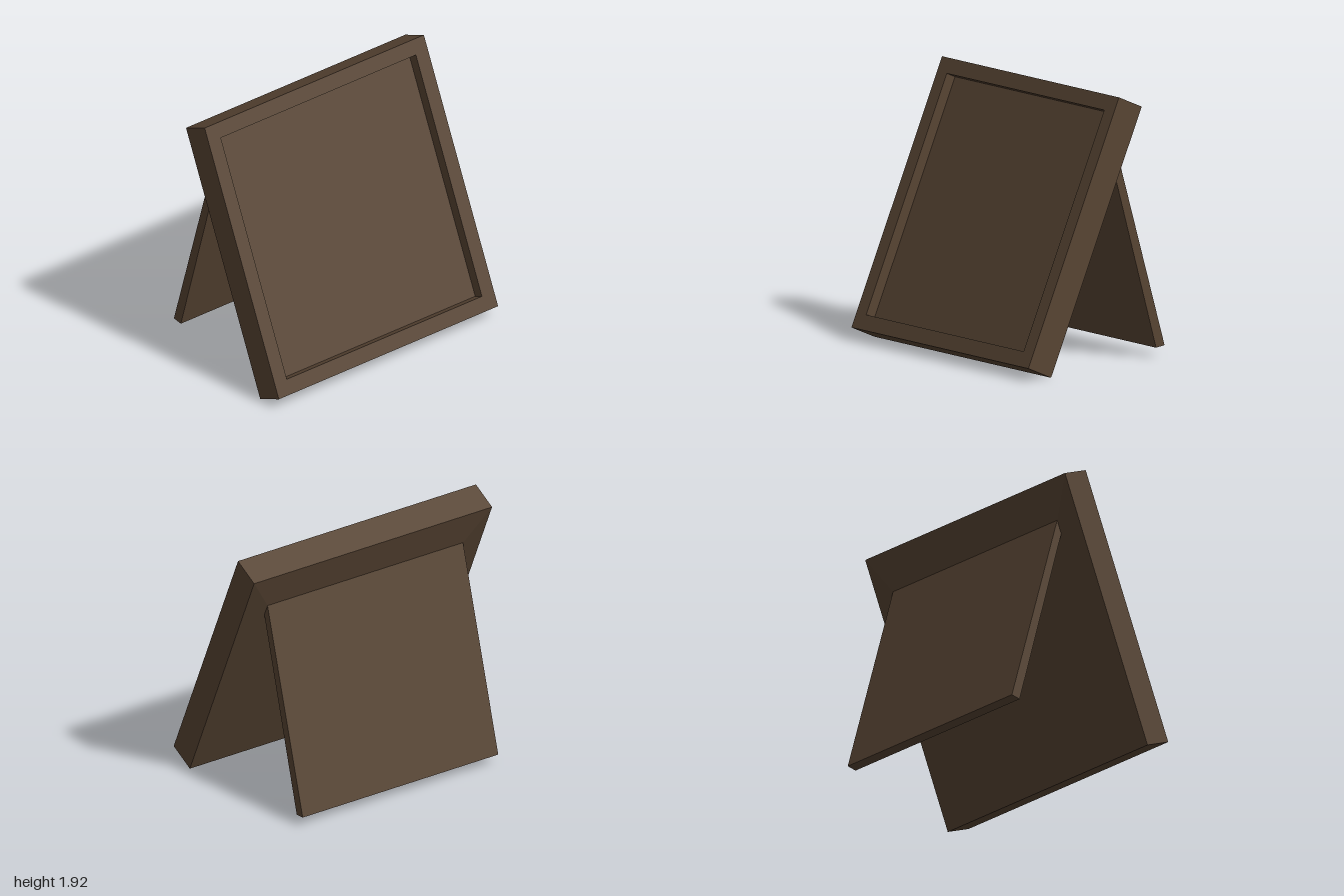
import * as THREE from 'three';
import { ConvexGeometry } from 'three/addons/geometries/ConvexGeometry.js';

const TILT = 0.413;     // lean of the board
const SIZE = 2;         // board is square
const THICK = 0.22;
const RECESS = 0.08;
const OPEN = 0.89;      // half-size of the recessed opening
const LEG_HALF = 0.822; // half-width of the rear support

function square(half, Path = THREE.Shape) {
  return new Path([[-half, -half], [half, -half], [half, half], [-half, half]]
    .map(([x, y]) => new THREE.Vector2(x, y)));
}

export function createModel() {
  const model = new THREE.Group();
  model.name = 'easelBoard';
  const wood = new THREE.MeshStandardMaterial({ color: 0x574433 });
  wood.name = 'darkWood';

  const add = (parent, name, geometry) => {
    const mesh = new THREE.Mesh(geometry, wood);
    mesh.name = name;
    parent.add(mesh);
    return mesh;
  };

  // Leaning board: local y runs up the board, local z points out of its face
  const board = new THREE.Group();
  board.name = 'board';
  board.rotation.set(0, Math.PI / 2, TILT, 'ZYX');
  board.position.set(0.47, 0, 0);
  model.add(board);

  // Raised rim around the recessed panel
  const rimShape = square(SIZE / 2);
  rimShape.holes.push(square(OPEN, THREE.Path));
  const rim = add(board, 'rim',
    new THREE.ExtrudeGeometry(rimShape, { depth: RECESS, bevelEnabled: false }));
  rim.position.set(0, SIZE / 2, THICK - RECESS);

  // Panel and back, swelling slightly towards the hinge of the support
  const points = [];
  for (const s of [-1, 1]) {
    for (const y of [0, SIZE]) {
      for (const z of [0, THICK - RECESS]) points.push(new THREE.Vector3(s, y, z));
    }
    for (const y of [1.612, 1.712]) points.push(new THREE.Vector3(s * LEG_HALF, y, -0.02));
  }
  add(board, 'backPanel', new ConvexGeometry(points));

  // Rear support, reaching just inside the back panel
  const legShape = new THREE.Shape([[-0.675, 0.075], [-0.6, 0.065], [-0.195, 1.47], [-0.19, 1.55], [-0.235, 1.56]]
    .map(([x, y]) => new THREE.Vector2(x, y)));
  const leg = add(model, 'rearSupport',
    new THREE.ExtrudeGeometry(legShape, { depth: 2 * LEG_HALF, bevelEnabled: false }));
  leg.position.z = -LEG_HALF;

  return model;
}
